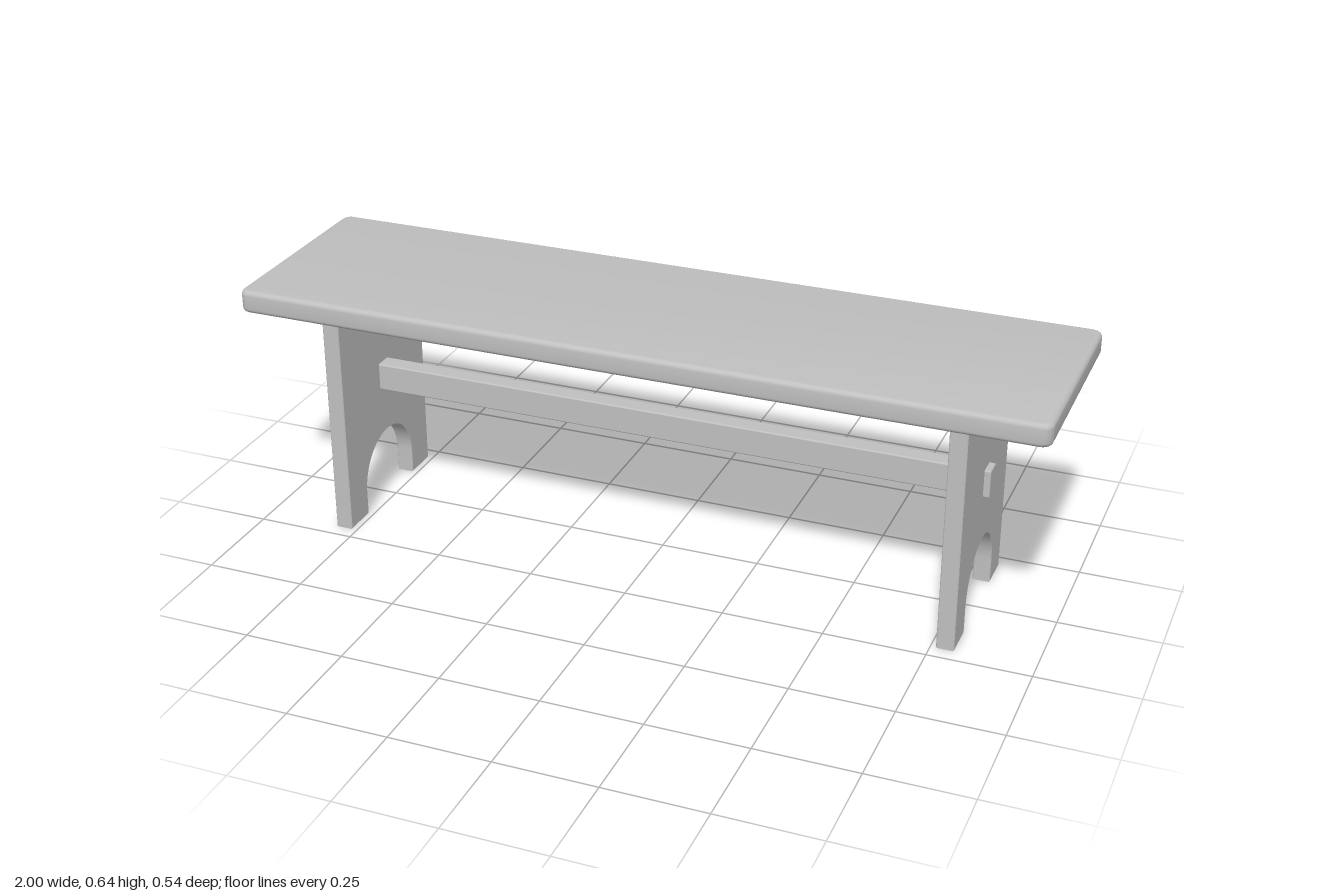
import * as THREE from 'three';
import { toCreasedNormals } from 'three/addons/utils/BufferGeometryUtils.js';
import { RoundedBoxGeometry } from 'three/addons/geometries/RoundedBoxGeometry.js';

const LEG_X = 0.785, LEG_HEIGHT = 0.587, LEG_THICKNESS = 0.043;

// Extrudes a shape to a total thickness, centred on z, with edges eased inside the outline
function easedBoard(shape, thickness, ease, segments) {
  const geometry = new THREE.ExtrudeGeometry(shape, {
    depth: thickness - 2 * ease, curveSegments: 16,
    bevelEnabled: true, bevelThickness: ease, bevelSize: ease,
    bevelOffset: -ease, bevelSegments: segments,
  });
  geometry.translate(0, 0, ease - thickness / 2);
  return toCreasedNormals(geometry, 0.6);
}

function roundedRectangle(halfW, halfH, r) {
  const s = new THREE.Shape();
  s.absarc(halfW - r, halfH - r, r, 0, Math.PI / 2);
  s.absarc(-halfW + r, halfH - r, r, Math.PI / 2, Math.PI);
  s.absarc(-halfW + r, -halfH + r, r, Math.PI, Math.PI * 1.5);
  s.absarc(halfW - r, -halfH + r, r, Math.PI * 1.5, Math.PI * 2);
  return s;
}

// Board leg with a round-topped cutout between two feet
function legShape() {
  const half = 0.213, arch = 0.123, spring = 0.063;
  const s = new THREE.Shape();
  s.moveTo(-half, 0);
  s.lineTo(-arch, 0);
  s.lineTo(-arch, spring);
  s.absarc(0, spring, arch, Math.PI, 0, true);
  s.lineTo(arch, 0);
  s.lineTo(half, 0);
  s.lineTo(half, LEG_HEIGHT);
  s.lineTo(-half, LEG_HEIGHT);
  s.closePath();
  return s;
}

export function createModel() {
  const bench = new THREE.Group();
  bench.name = 'bench';
  const grey = new THREE.MeshStandardMaterial({ color: 0xbfbfbf });
  grey.name = 'plain grey';

  const add = (name, geometry, x, y) => {
    const mesh = new THREE.Mesh(geometry, grey);
    mesh.name = name;
    mesh.position.set(x, y, 0);
    bench.add(mesh);
  };

  // Seat plank with rounded corners and edges
  const seat = easedBoard(roundedRectangle(1, 0.272, 0.026), 0.057, 0.012, 5);
  seat.rotateX(-Math.PI / 2);
  add('seat', seat, 0, 0.6155);

  // Pair of legs facing the ends
  const leg = easedBoard(legShape(), LEG_THICKNESS, 0.002, 1);
  leg.rotateY(Math.PI / 2);
  add('leftLeg', leg, LEG_X, 0);
  add('rightLeg', leg, -LEG_X, 0);

  // Stretcher whose ends poke through both legs
  add('stretcher', new RoundedBoxGeometry(1.644, 0.071, 0.048, 3, 0.004), 0, 0.344);

  return bench;
}
